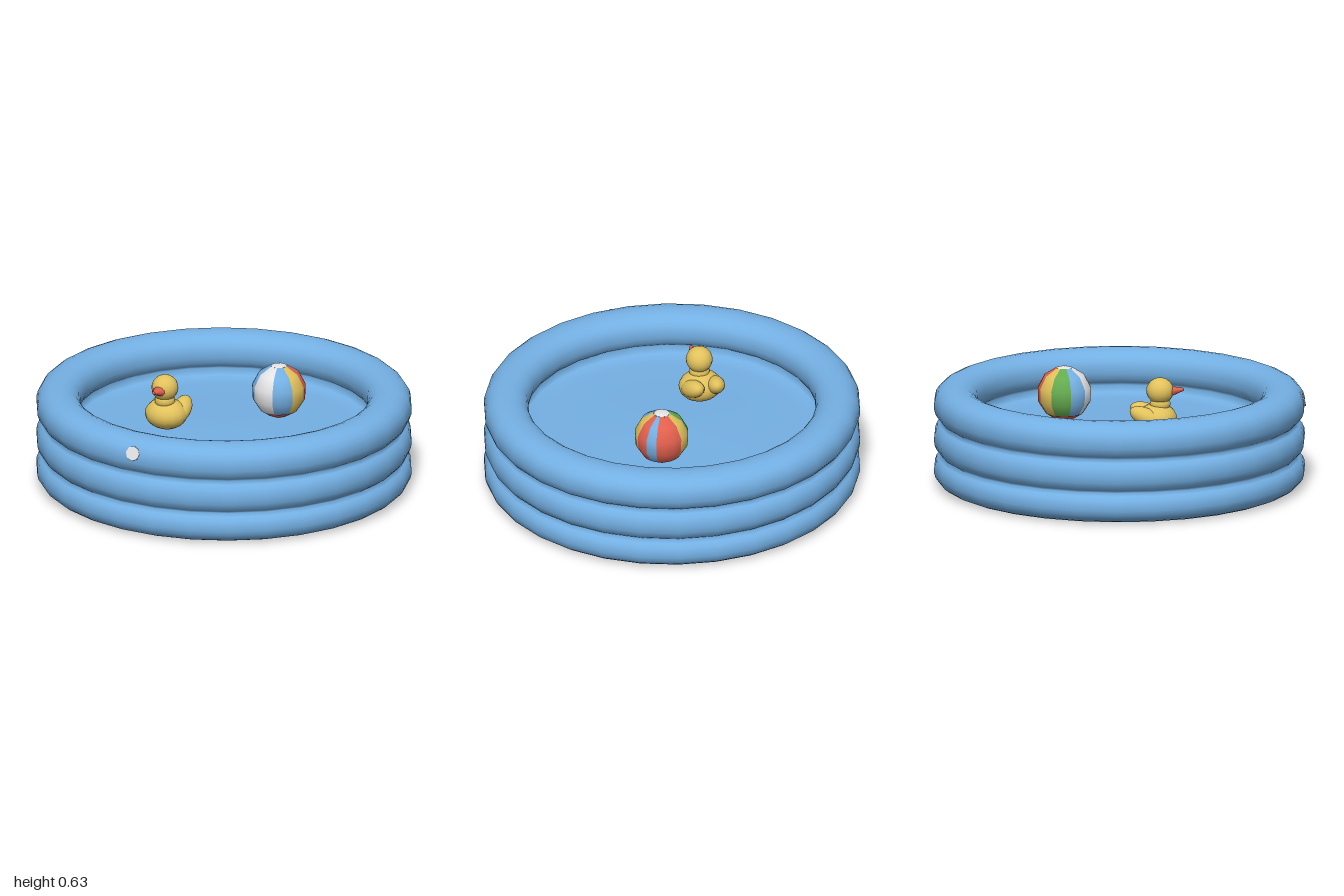
import * as THREE from 'three';

const mat = (name, color) => {
  const m = new THREE.MeshStandardMaterial({ color });
  m.name = name;
  return m;
};

export function createModel() {
  const blue = mat('pool blue', 0x74b0e4);
  const yellow = mat('yellow', 0xe2c25c);
  const red = mat('red', 0xe2604e);
  const green = mat('green', 0x66ac50);
  const white = mat('white', 0xe6e6e8);

  const model = new THREE.Group();
  model.name = 'paddlingPool';
  const add = (parent, name, geometry, material, x = 0, y = 0, z = 0) => {
    const mesh = new THREE.Mesh(geometry, material);
    mesh.name = name;
    mesh.position.set(x, y, z);
    parent.add(mesh);
    return mesh;
  };

  // Pool: base, three stacked tubes and a gently domed floor in one turned profile
  const profile = [new THREE.Vector2(0, 0.025), new THREE.Vector2(0.7, 0.025)];
  const soft = (v) => Math.sign(v) * Math.abs(v) ** 0.9;
  const arc = (cy, b, from, to, steps) => {
    for (let i = 0; i <= steps; i++) {
      const a = THREE.MathUtils.degToRad(from + ((to - from) * i) / steps);
      const p = new THREE.Vector2(0.88 + 0.118 * soft(Math.cos(a)), cy + b * soft(Math.sin(a)));
      if (p.distanceTo(profile[profile.length - 1]) > 0.005) profile.push(p);
    }
  };
  arc(0.09, 0.09, -132, 57.3, 12);
  arc(0.257, 0.103, -59.4, 59.4, 8);
  arc(0.437, 0.103, -59.4, 236, 18);
  for (const [r, y] of [[0.785, 0.318], [0.7, 0.306], [0.45, 0.313], [0, 0.325]])
    profile.push(new THREE.Vector2(r, y));
  const pool = add(model, 'pool', new THREE.LatheGeometry(profile, 30, Math.PI / 2), blue);
  pool.scale.z = 0.985;

  // Air valve on the front of the top tube
  const valve = add(model, 'valve', new THREE.CylinderGeometry(0.04, 0.04, 0.03, 8), white, -0.012, 0.465, 0.96);
  valve.rotation.x = Math.PI / 2 - 0.3;

  // Beach ball: coloured wedges between a white top cap and a red bottom cap
  const ball = new THREE.Group();
  ball.name = 'beachBall';
  ball.position.set(0.168, 0.452, -0.295);
  model.add(ball);
  const R = 0.145, topCap = 0.3, bottomCap = 0.75, rad = THREE.MathUtils.degToRad;
  const panels = [
    [-38, 15, white], [15, 60, blue], [60, 97, yellow], [97, 125, red], [125, 148, blue],
    [148, 207, red], [207, 242, yellow], [242, 286, green], [286, 322, blue],
  ];
  for (const [from, to, m] of panels) {
    // sphere longitude is measured from -x, so add a quarter turn to start at +z
    const wide = to - from > 43 ? 2 : 1;
    add(ball, 'ballPanel', new THREE.SphereGeometry(R, wide, 4,
      Math.PI / 2 + rad(from), rad(to - from), topCap, Math.PI - topCap - bottomCap), m);
  }
  add(ball, 'topCap', new THREE.SphereGeometry(R, 10, 1, 0, Math.PI * 2, 0, topCap), white);
  add(ball, 'bottomCap', new THREE.SphereGeometry(R, 10, 2, 0, Math.PI * 2, Math.PI - bottomCap, bottomCap), red);

  // Duck
  const duck = new THREE.Group();
  duck.name = 'duck';
  duck.position.set(-0.235, 0, 0.2);
  model.add(duck);
  const blob = (name, pos, scale, tilt = 0, turn = 0) => {
    const b = add(duck, name, new THREE.SphereGeometry(1, 16, 12), yellow, ...pos);
    b.scale.set(...scale);
    b.rotation.set(tilt, turn, 0, 'YXZ');
  };
  blob('body', [0, 0.41, 0.005], [0.116, 0.082, 0.105]);
  blob('neck', [0, 0.49, 0.02], [0.055, 0.045, 0.055]);
  blob('head', [0, 0.56, 0.02], [0.071, 0.07, 0.073]);
  for (const s of [-1, 1])
    blob('wing', [s * 0.064, 0.43, -0.052], [0.05, 0.048, 0.095], 0.4, s * 0.2);

  // Beak: a blunt, slightly upturned cone
  const beak = add(duck, 'beak', new THREE.CylinderGeometry(0.01, 0.05, 0.1, 10), red, 0, 0.561, 0.095);
  beak.scale.z = 0.75;
  beak.rotation.x = Math.PI / 2 - 0.15;

  return model;
}
